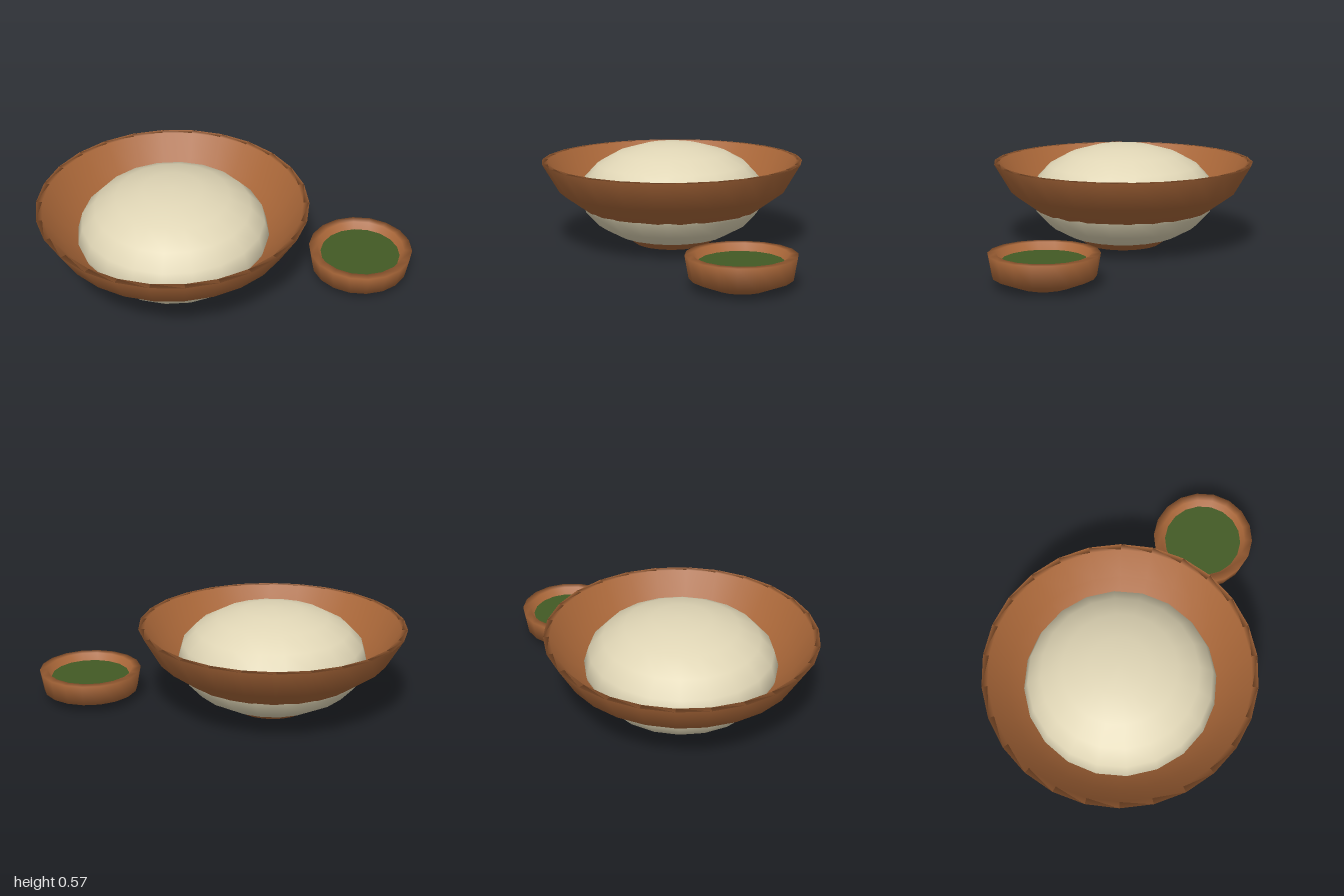
import * as THREE from 'three';

const clay = new THREE.MeshStandardMaterial({ color: 0xa86638 });
clay.name = 'terracotta';
const cream = new THREE.MeshStandardMaterial({ color: 0xe0d6b6 });
cream.name = 'cream';
const green = new THREE.MeshStandardMaterial({ color: 0x425a24 });
green.name = 'herb green';

// Turned vessel; a repeated profile point keeps that edge sharp
function vessel(name, profile, segments) {
  const points = profile.map(([r, y]) => new THREE.Vector2(r, y));
  const mesh = new THREE.Mesh(new THREE.LatheGeometry(points, segments, Math.PI / 2), clay);
  mesh.name = name;
  return mesh;
}

export function createModel() {
  const model = new THREE.Group();
  model.name = 'bowlAndSauceDish';

  // Large bowl: foot, flaring wall, rim, inner wall
  const servingBowl = new THREE.Group();
  servingBowl.name = 'servingBowl';
  servingBowl.position.x = -0.2725;
  servingBowl.add(vessel('bowl', [
    [0, 0.003], [0.21, 0.003], [0.21, 0.003], [0.634, 0.312], [0.7275, 0.472],
    [0.695, 0.472], [0.6, 0.325], [0.4, 0.18], [0, 0.06],
  ], 26));

  // Flattened mound that fills the bowl and reaches through its wall
  const mound = new THREE.Mesh(new THREE.SphereGeometry(1, 20, 10), cream);
  mound.name = 'doughMound';
  mound.scale.set(0.518, 0.285, 0.518);
  mound.position.y = 0.285;
  servingBowl.add(mound);
  model.add(servingBowl);

  // Small dish with its filling
  const sauceDish = new THREE.Group();
  sauceDish.name = 'sauceDish';
  sauceDish.position.set(0.719, 0, 0.235);
  sauceDish.add(vessel('dish', [
    [0, 0.002], [0.14, 0.002], [0.14, 0.002], [0.261, 0.052], [0.281, 0.167],
    [0.238, 0.167], [0.17, 0.05], [0, 0.03],
  ], 18));

  const sauce = new THREE.Mesh(new THREE.CylinderGeometry(0.216, 0.2, 0.03, 18, 1, false, Math.PI / 2), green);
  sauce.name = 'sauce';
  sauce.position.y = 0.115;
  sauceDish.add(sauce);
  model.add(sauceDish);

  return model;
}
